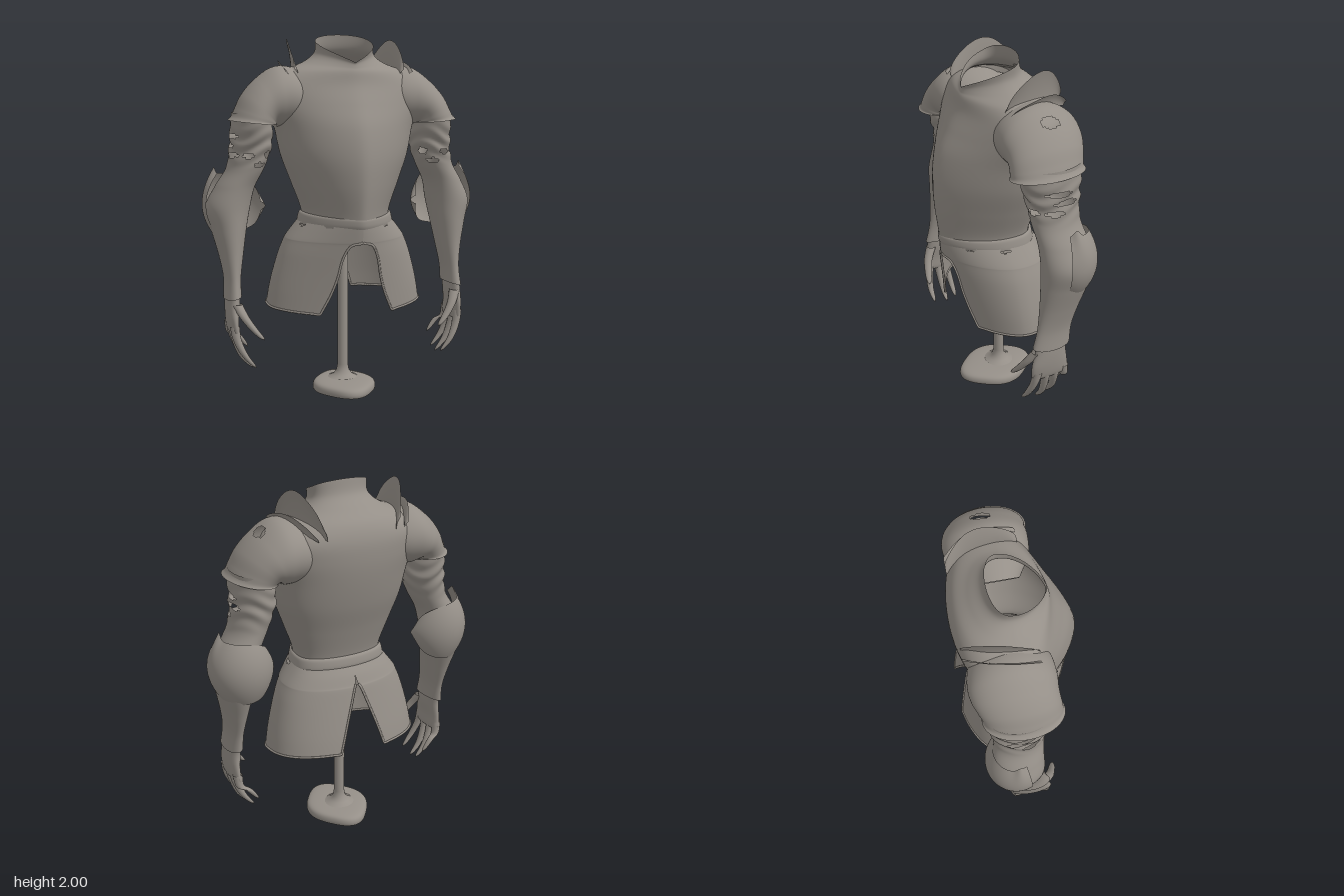
import * as THREE from 'three';
import { mergeVertices } from 'three/addons/utils/BufferGeometryUtils.js';

const steel = new THREE.MeshStandardMaterial({ color: 0x958f88, side: THREE.DoubleSide });
steel.name = 'dull steel';

// Smoothly interpolate a table of cross-section rows at t in 0..1
function sample(rows, t) {
  const n = rows.length - 1, f = Math.min(t * n, n - 1e-6), i = Math.floor(f), k = f - i;
  const at = (j) => rows[Math.max(0, Math.min(n, j))];
  return rows[0].map((_, c) => {
    const a = at(i - 1)[c], b = at(i)[c], d = at(i + 1)[c], e = at(i + 2)[c];
    return b + 0.5 * k * (d - a + k * (2 * a - 5 * b + 4 * d - e + k * (3 * (b - d) + e - a)));
  });
}

// Grid surface from fn(u, v) -> [x, y, z]; quads inside any hole ellipsoid are left out
function patch(name, nu, nv, fn, holes = []) {
  const pos = [], index = [];
  for (let j = 0; j <= nv; j++) for (let i = 0; i <= nu; i++) pos.push(...fn(i / nu, j / nv));
  const inHole = (p) => holes.some(([x, y, z, a, b, c]) =>
    ((pos[p] - x) / a) ** 2 + ((pos[p + 1] - y) / b) ** 2 + ((pos[p + 2] - z) / c) ** 2 < 1);
  for (let j = 0; j < nv; j++) for (let i = 0; i < nu; i++) {
    const a = j * (nu + 1) + i, b = a + 1, c = a + nu + 1, d = c + 1;
    if (!inHole(a * 3)) index.push(a, b, d, a, d, c);
  }
  let g = new THREE.BufferGeometry();
  g.setAttribute('position', new THREE.Float32BufferAttribute(pos, 3));
  g.setIndex(index);
  g = mergeVertices(g, 1e-5);
  g.computeVertexNormals();
  const m = new THREE.Mesh(g, steel);
  m.name = name;
  return m;
}

// Body cross-section with a soft keel in front; a = 0 front, PI back
function bodyPoint([yf, yb, w, zf, zb], a) {
  const s = Math.sin(a), c = Math.cos(a), zs = -0.03;
  const keel = 1.08 - Math.sqrt(s * s + 0.0064);
  const z = c > 0 ? zs + (zf - zs) * (0.7 * c + 0.3 * keel * Math.min(1, c * 4))
    : zs + (zb - zs) * Math.pow(-c, 0.8);
  return [w * s, yf + (yb - yf) * Math.abs(Math.sin(a / 2)), z];
}
const body = (name, rows, nv) =>
  patch(name, 96, nv, (u, v) => bodyPoint(sample(rows, v), (u * 2 - 1) * Math.PI));

// Limb shell: rows are outer x,y, inner x,y, front z, back z
function limb(name, rows, nu, nv, holes, wobble = () => 0) {
  return patch(name, nu, nv, (u, v) => {
    const [ox, oy, ix, iy, zf, zb] = sample(rows, v), b = u * Math.PI * 2;
    const c = Math.cos(b) / 2, s = Math.sin(b) / 2;
    const y = (oy + iy) / 2 + (oy - iy) * c;
    const k = 1 + wobble(y, b);
    return [(ox + ix) / 2 + (ox - ix) * c * k, y, (zf + zb) / 2 + (zf - zb) * s * k];
  }, holes);
}

function finger(name, pts, r) {
  const curve = new THREE.CatmullRomCurve3(pts.map((p) => new THREE.Vector3(...p)));
  return patch(name, 12, 16, (u, v) => {
    const p = curve.getPoint(v), a = u * Math.PI * 2;
    const q = r * (1 - 0.45 * v) * Math.sqrt(1 - v ** 8);
    return [p.x + q * Math.cos(a), p.y, p.z - q * Math.sin(a)];
  });
}

function side(isLeft) {
  const g = new THREE.Group();
  g.name = isLeft ? 'leftSide' : 'rightSide';

  // Shoulder sleeve growing out of the cuirass, with flared hem
  g.add(limb('shoulderSleeve', [
    [0.12, 1.74, 0.2, 1.55, 0.07, -0.20], [0.27, 1.815, 0.28, 1.50, 0.138, -0.268],
    [0.385, 1.825, 0.36, 1.49, 0.152, -0.288], [0.49, 1.757, 0.385, 1.50, 0.15, -0.28],
    [0.565, 1.675, 0.39, 1.51, 0.155, -0.26], [0.605, 1.60, 0.39, 1.515, 0.16, -0.245],
    [0.625, 1.56, 0.39, 1.515, 0.162, -0.24], [0.645, 1.54, 0.385, 1.515, 0.17, -0.245],
  ], 96, 80, isLeft ? [[0.465, 1.78, -0.08, 0.026, 0.08, 0.05]] : []));

  // Upper arm with tears, running into the forearm guard
  const torn = (y, b) => 0.05 * Math.sin(y * 75 + 3 * Math.sin(b * 2)) *
    Math.max(0, 1 - Math.abs(y - 1.41) / 0.13);
  g.add(limb('armGuard', [
    [0.62, 1.58, 0.42, 1.58, 0.12, -0.22], [0.63, 1.49, 0.405, 1.49, 0.108, -0.22],
    [0.635, 1.39, 0.41, 1.39, 0.08, -0.21], [0.655, 1.28, 0.45, 1.28, 0.065, -0.20],
    [0.715, 1.18, 0.50, 1.18, 0.055, -0.215], [0.765, 1.07, 0.525, 1.07, 0.055, -0.24],
    [0.74, 0.95, 0.55, 0.95, 0.057, -0.215], [0.705, 0.81, 0.575, 0.81, 0.062, -0.167],
    [0.685, 0.69, 0.595, 0.69, 0.075, -0.13], [0.69, 0.58, 0.597, 0.60, 0.10, -0.118],
  ], 96, 110, [
    [0.64, 1.46, -0.04, 0.06, 0.011, 0.08], [0.64, 1.41, -0.08, 0.06, 0.012, 0.07],
    [0.63, 1.36, -0.02, 0.06, 0.012, 0.05], [0.44, 1.36, 0.04, 0.03, 0.02, 0.04],
    [0.50, 1.31, 0.06, 0.035, 0.012, 0.05], [0.56, 1.36, 0.06, 0.03, 0.013, 0.05],
  ], torn));

  // Elbow cop sweeping round the outside and back to a rounded inner lobe
  g.add(patch('elbowCop', 48, 32, (u, t) => {
    const v = t * 2 - 1, a = -0.3 + u * 3.3;
    const spike = v > 0 ? 0.035 * Math.exp(-(((u - 0.12) * 14) ** 2)) : 0;
    const h = 0.17 * Math.sqrt(Math.max(0.02, 1 - u ** 5)) + spike;
    const r = (0.155 + 0.04 * u) * (1 - (0.45 - 0.3 * u) * v * v);
    return [0.625 + r * Math.cos(a), 1.085 + v * h - 0.02 * u, -0.08 - r * Math.sin(a)];
  }));

  // Gauntlet hand
  g.add(limb('palm', [
    [0.68, 0.62, 0.607, 0.62, 0.085, -0.105], [0.685, 0.56, 0.608, 0.55, 0.09, -0.095],
    [0.683, 0.48, 0.618, 0.47, 0.11, -0.105], [0.672, 0.41, 0.62, 0.40, 0.105, -0.115],
    [0.65, 0.385, 0.645, 0.385, 0.08, -0.09],
  ], 32, 20));
  [[0.075, 0.1, 0.205], [0.025, 0.015, 0.185], [-0.03, -0.045, 0.2], [-0.085, -0.112, 0.27]].forEach(([z0, z1, y], i) =>
    g.add(finger('finger' + (i + 1), [
      [0.65, 0.44, z0], [0.64, 0.37, z0 * 0.6 + z1 * 0.4], [0.6, y + 0.075, z1], [0.54, y, z1],
    ], 0.027)));
  g.add(finger('thumb', [[0.635, 0.56, 0.07], [0.6, 0.49, 0.11], [0.55, 0.42, 0.135], [0.505, 0.37, 0.15]], 0.03));

  // Upright neck guard on top of the shoulder
  const base = [[0.285, 1.79, 0.08], [0.285, 1.80, -0.05], [0.26, 1.80, -0.18], [0.2, 1.76, -0.29]];
  const guard = (name, dx, size) => g.add(patch(name, 40, 10, (u, v) => {
    const [x, y, z] = sample(base, u);
    const h = size * Math.pow(Math.sin(Math.PI * (u * 0.92 + 0.02)), 0.75);
    return [x + dx + 0.025 * v * v, y - 0.02 + v * (h + 0.02), z];
  }));
  guard('neckGuard', 0, 0.17);
  guard('neckGuardRidge', 0.05, 0.055);

  // Thigh plate: half skirt open at front and back, last columns are the half gaps
  const skirt = [
    [1.0, 1.0, 0.255, 0.312, -0.19, 0, 0], [0.95, 0.95, 0.295, 0.308, -0.225, 0, 0],
    [0.90, 0.90, 0.333, 0.302, -0.25, 0, 0.008], [0.88, 0.88, 0.343, 0.298, -0.26, 0.06, 0.02],
    [0.81, 0.81, 0.372, 0.288, -0.277, 0.098, 0.045], [0.7, 0.71, 0.403, 0.272, -0.30, 0.122, 0.08],
    [0.6, 0.62, 0.425, 0.258, -0.32, 0.155, 0.11], [0.485, 0.54, 0.44, 0.245, -0.335, 0.205, 0.135],
  ];
  const plate = (u, v) => {
    const r = sample(skirt, v);
    const a0 = Math.asin(Math.max(0, r[5]) / r[2]), a1 = Math.PI - Math.asin(Math.max(0, r[6]) / r[2]);
    return bodyPoint(r, a0 + (a1 - a0) * u);
  };
  g.add(patch('thighPlate', 64, 56, plate, [[0.15, 0.985, 0.2, 0.02, 0.015, 0.06], [0.25, 0.985, 0.06, 0.04, 0.016, 0.03]]));
  const edge = [], top = 2 / 7;
  for (let i = 0; i <= 20; i++) edge.push(plate(0, top + (1 - top) * i / 20));
  for (let i = 1; i <= 24; i++) edge.push(plate(i / 24, 1));
  for (let i = 1; i <= 20; i++) edge.push(plate(1, 1 - (1 - top) * i / 20));
  const path = new THREE.CatmullRomCurve3(edge.map((p) => new THREE.Vector3(...p)));
  const rim = new THREE.Mesh(new THREE.TubeGeometry(path, 120, 0.007, 6), steel);
  rim.name = 'thighPlateRim';
  g.add(rim);

  if (!isLeft) g.scale.x = -1;
  return g;
}

export function createModel() {
  const model = new THREE.Group();
  model.name = 'armourOnStand';

  // Breast and back plate rising into the open collar: front y, back y, half width, front z, back z
  model.add(body('cuirass', [
    [0.93, 0.97, 0.26, 0.303, -0.18], [1.04, 1.04, 0.243, 0.317, -0.175], [1.2, 1.2, 0.30, 0.335, -0.22],
    [1.35, 1.35, 0.355, 0.335, -0.27], [1.5, 1.5, 0.388, 0.305, -0.305], [1.62, 1.62, 0.43, 0.25, -0.32],
    [1.72, 1.72, 0.44, 0.20, -0.315], [1.79, 1.80, 0.35, 0.182, -0.28], [1.815, 1.86, 0.225, 0.17, -0.21],
    [1.835, 1.92, 0.165, 0.165, -0.145], [1.845, 2.0, 0.16, 0.172, -0.125],
  ], 80));
  // Waist band
  model.add(body('waistBand', [
    [1.02, 1.045, 0.244, 0.316, -0.178], [1.01, 1.035, 0.256, 0.318, -0.192],
    [0.985, 1.0, 0.265, 0.316, -0.2], [0.965, 0.98, 0.268, 0.308, -0.198],
  ], 12));

  model.add(side(true), side(false));

  // Stand: hollow post and a rounded dish
  const post = new THREE.Mesh(new THREE.LatheGeometry([
    [0.022, 0.03], [0.022, 0.81], [0.03, 0.81], [0.03, 0.14], [0.036, 0.105], [0.055, 0.08], [0.085, 0.066],
  ].map(([x, y]) => new THREE.Vector2(x, y)), 32), steel);
  post.name = 'standPost';
  post.position.z = -0.055;
  model.add(post);
  const dish = [[0.13, 0.068], [0.5, 0.066], [0.82, 0.058], [0.96, 0.045], [1, 0.022], [0.97, 0.004], [0.9, 0.012], [0.5, 0.035], [0.13, 0.04]];
  model.add(patch('standBase', 56, 32, (u, v) => {
    const [r, y] = sample(dish, v), a = u * Math.PI * 2;
    const q = r * (1 - 0.09 * Math.sin(2 * a) ** 2 * r);
    return [0.18 * q * Math.cos(a), Math.max(0, y), -0.03 - 0.025 * (1 - r) + 0.225 * q * Math.sin(a)];
  }));
  return model;
}
